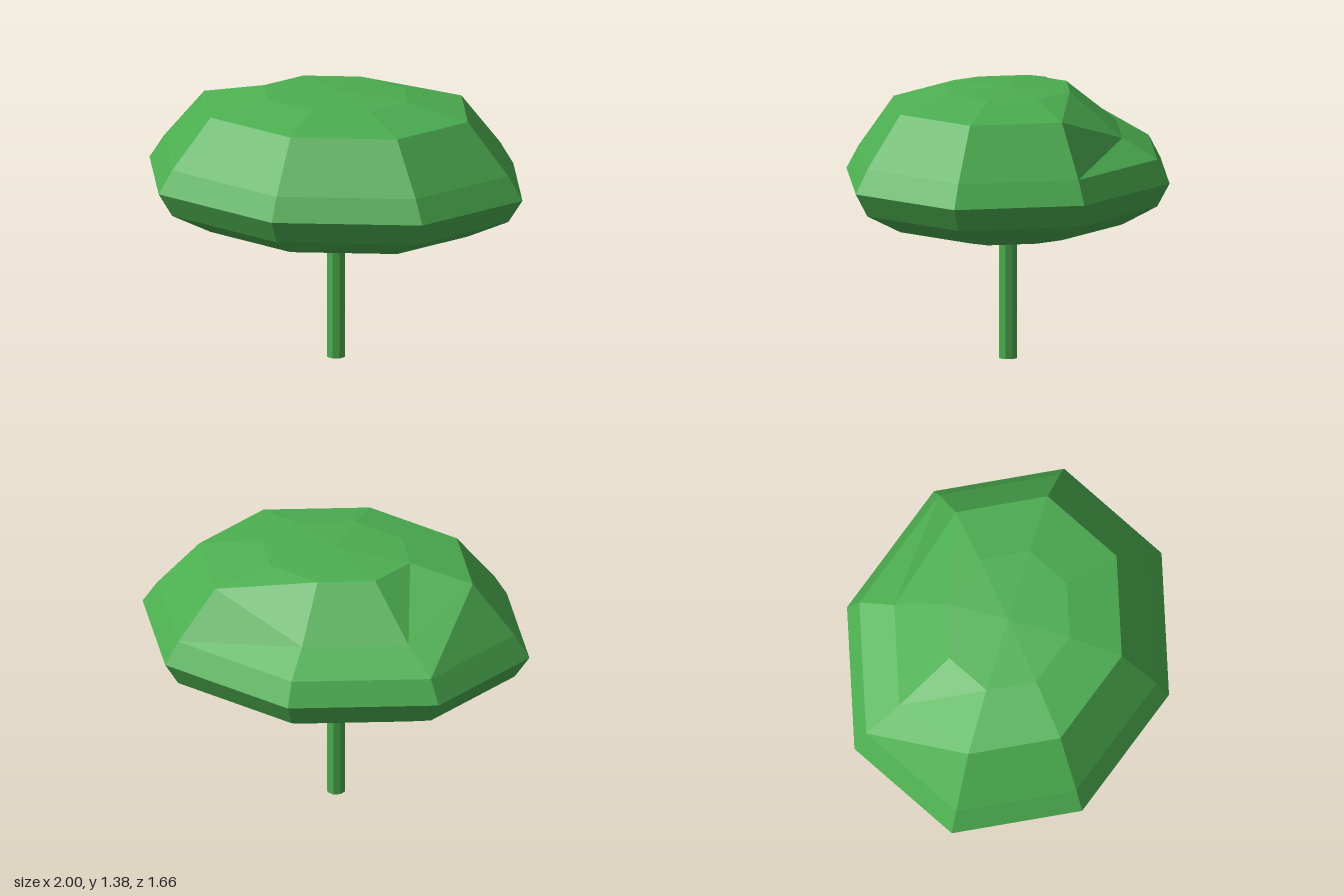
import * as THREE from 'three';

const SIDES = 8, RINGS = 8;
const RX = 1, RY = 0.308, RZ = 0.83, CENTRE_Y = 0.916, LIFT = 0.156;

// Crown: a flattened eight-sided sphere whose upper rings are lifted,
// except for two back corners of the shoulder ring, which form a dent.
function crownPoint(ring, side) {
  const a = (ring / RINGS) * Math.PI;
  const phi = (side / SIDES) * Math.PI * 2;
  const dented = ring === 2 && (side === 6 || side === 7);
  const lift = ring <= 2 && !dented ? LIFT : 0;
  return [
    -Math.cos(phi) * Math.sin(a) * RX,
    CENTRE_Y + Math.cos(a) * RY + lift,
    Math.sin(phi) * Math.sin(a) * RZ,
  ];
}

function crownGeometry() {
  const positions = [];
  for (let r = 0; r < RINGS; r++) {
    for (let s = 0; s < SIDES; s++) {
      const next = (s + 1) % SIDES;
      const a = crownPoint(r, next), b = crownPoint(r, s);
      const c = crownPoint(r + 1, s), d = crownPoint(r + 1, next);
      if (r > 0) positions.push(...a, ...b, ...c);
      if (r < RINGS - 1) positions.push(...a, ...c, ...d);
    }
  }
  const geometry = new THREE.BufferGeometry();
  geometry.setAttribute('position', new THREE.Float32BufferAttribute(positions, 3));
  geometry.computeVertexNormals();
  return geometry;
}

export function createModel() {
  const tree = new THREE.Group();
  tree.name = 'tree';
  const green = new THREE.MeshStandardMaterial({ color: 0x4caf50, flatShading: true });

  const crown = new THREE.Mesh(crownGeometry(), green);
  crown.name = 'crown';

  // Trunk: a thin eight-sided post reaching into the crown
  const height = 0.64;
  const trunk = new THREE.Mesh(new THREE.CylinderGeometry(0.047, 0.047, height, SIDES), green);
  trunk.name = 'trunk';
  trunk.position.y = height / 2;

  tree.add(crown, trunk);
  return tree;
}
